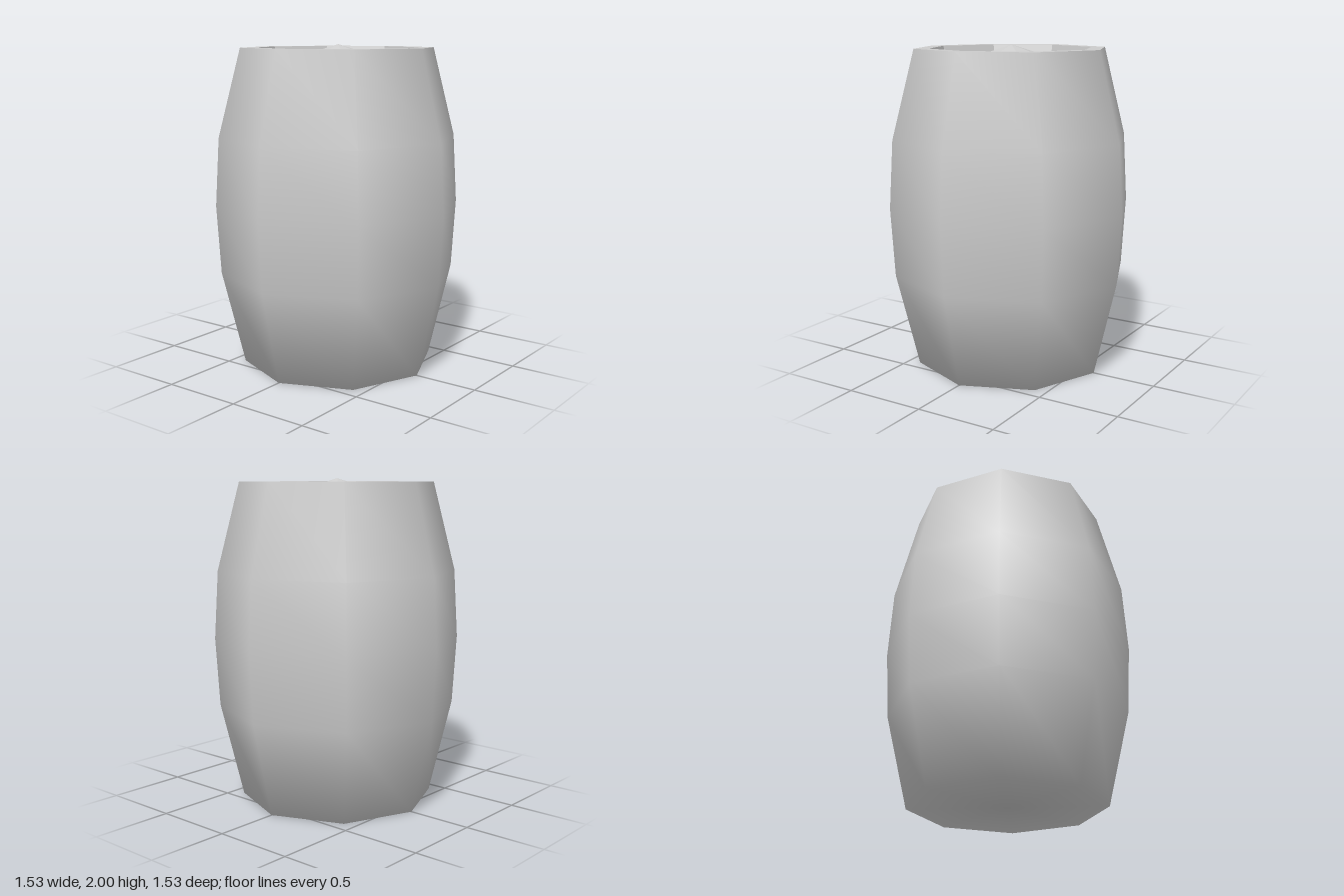
import * as THREE from 'three';
import { mergeVertices } from 'three/addons/utils/BufferGeometryUtils.js';

const SIDES = 8;

// Eight-sided turned shape; smooth shares normals, otherwise every facet is flat
function turned(points, smooth) {
  let geo = new THREE.LatheGeometry(points.map(([r, y]) => new THREE.Vector2(r, y)), SIDES);
  geo.deleteAttribute('normal');
  geo.deleteAttribute('uv');
  geo = smooth ? mergeVertices(geo, 1e-4) : geo.toNonIndexed();
  geo.computeVertexNormals();
  return geo;
}

export function createModel() {
  const grey = new THREE.MeshStandardMaterial({ color: 0xcccccc });
  grey.name = 'barrelGrey';

  const group = new THREE.Group();
  group.name = 'barrel';
  const add = (name, points, smooth = false) => {
    const mesh = new THREE.Mesh(turned(points, smooth), grey);
    mesh.name = name;
    group.add(mesh);
  };

  // Bulging staves and closed underside, shaded as one smooth skin
  add('body', [[0, 0], [0.6, 0], [0.74, 0.585], [0.765, 1.01], [0.74, 1.435], [0.6, 1.98]], true);
  // Flat top rim
  add('rim', [[0.6, 1.98], [0.51, 1.98]]);
  // Tapered wall of the recess
  add('recessWall', [[0.51, 1.98], [0.48, 1.85]]);
  // Faceted lid rising to a central point
  add('lid', [[0.48, 1.85], [0, 2]]);

  return group;
}
